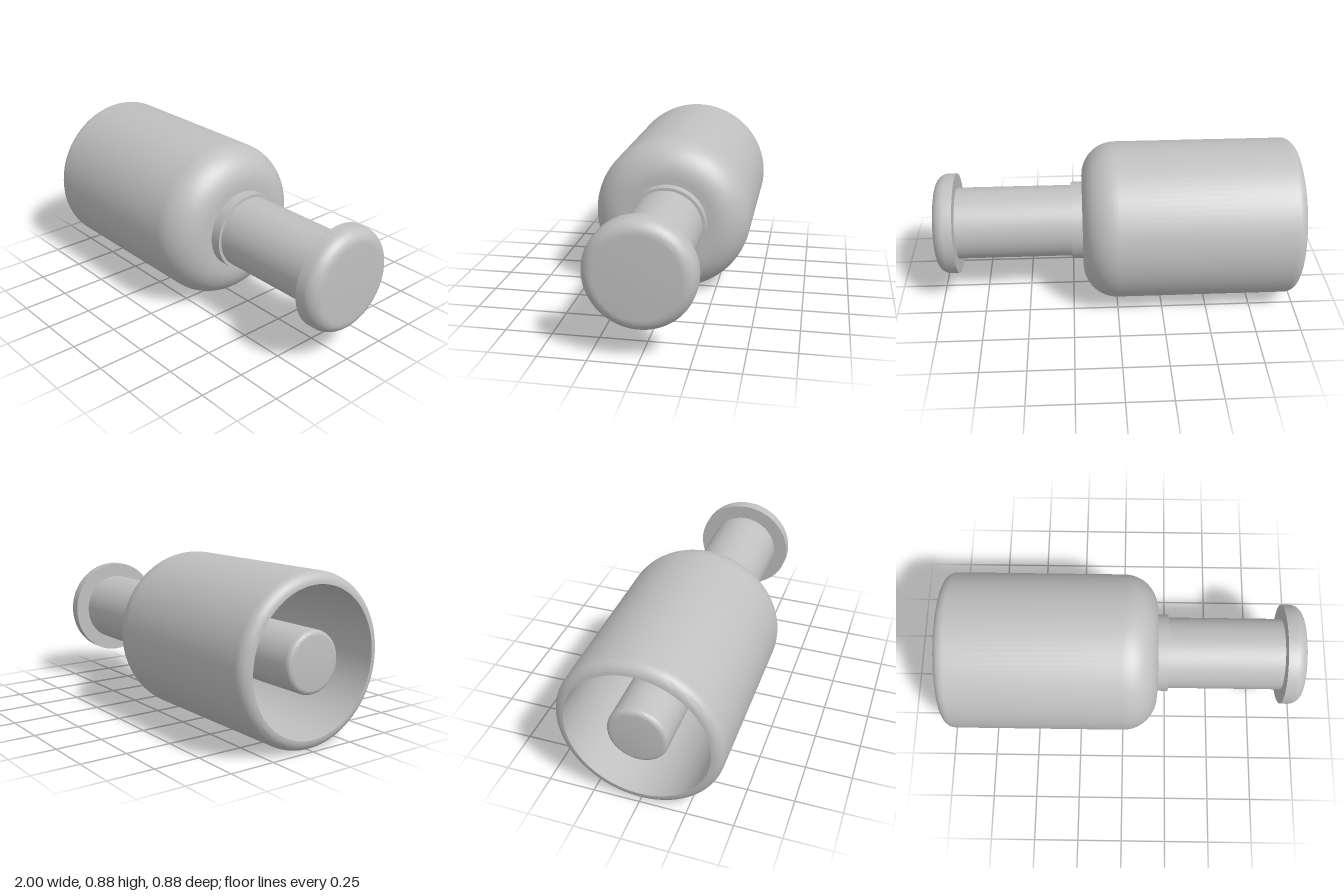
import * as THREE from 'three';
import { toCreasedNormals } from 'three/addons/utils/BufferGeometryUtils.js';

const AXIS_HEIGHT = 0.44;

// Points of a fillet: centre (radius, along), size and angles in degrees
function arc(r, x, size, from, to, steps = 12) {
  return Array.from({ length: steps + 1 }, (_, i) => {
    const a = THREE.MathUtils.degToRad(from + ((to - from) * i) / steps);
    return [r + size * Math.cos(a), x + size * Math.sin(a)];
  });
}

// Turned part: profile of [radius, position along x], spun about the long axis
function turned(name, profile, material) {
  const points = profile.map(([r, x]) => new THREE.Vector2(Math.max(r, 0), x));
  const geometry = toCreasedNormals(new THREE.LatheGeometry(points, 96), 0.6);
  geometry.rotateZ(-Math.PI / 2);
  geometry.translate(0, AXIS_HEIGHT, 0);
  const mesh = new THREE.Mesh(geometry, material);
  mesh.name = name;
  return mesh;
}

export function createModel() {
  const grey = new THREE.MeshStandardMaterial({ color: 0xc0c0c0 });
  grey.name = 'plain grey';

  const group = new THREE.Group();
  group.name = 'plungerAssembly';
  group.add(
    // Hollow cup: cavity, rounded rim, outer wall, large rounded shoulder
    turned('cupBody', [
      [0, 0.13],
      ...arc(0.25, 0, 0.13, 90, 0),
      ...arc(0.38, -0.94, 0.06, -90, 0, 8),
      ...arc(0.25, 0, 0.19, 0, 90, 16),
      [0, 0.19],
    ], grey),

    // Rod inside the cup, with a softened end
    turned('innerRod', [
      [0, -0.99],
      ...arc(0.135, -0.965, 0.025, -90, 0, 6),
      [0.16, 0.15],
    ], grey),

    // Collar where the shaft leaves the cup
    turned('collar', [[0.217, 0.17], [0.217, 0.25], [0.19, 0.25]], grey),

    // Outer shaft
    turned('shaft', [[0.2, 0.17], [0.2, 0.9]], grey),

    // End knob: flat underside, rounded outer face
    turned('endKnob', [
      [0, 0.887],
      [0.281, 0.887],
      ...arc(0.211, 0.93, 0.07, 0, 90),
      [0, 1],
    ], grey),
  );
  return group;
}
